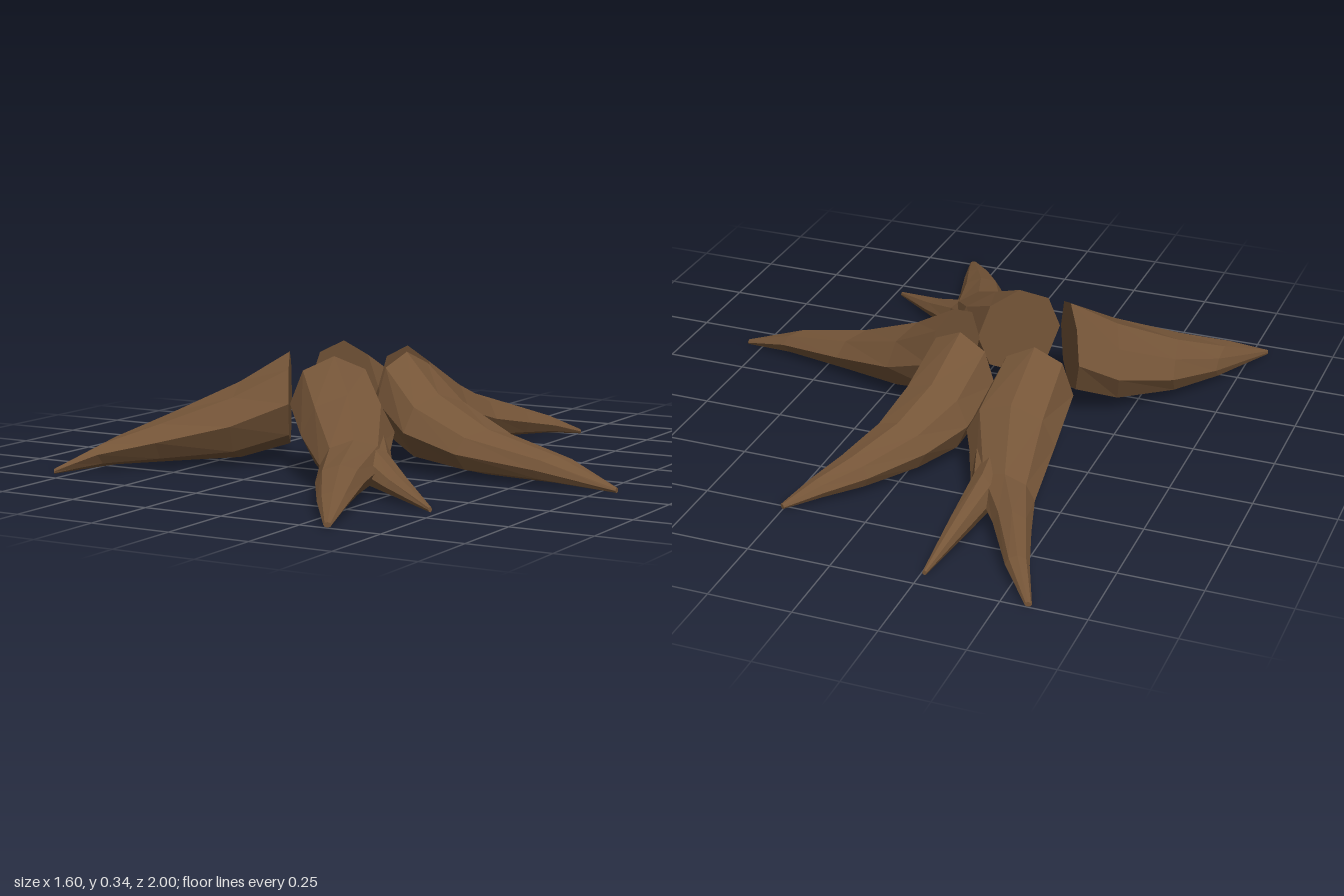
import * as THREE from 'three';

const SIDES = 8;

// Each station of a root: [leftX, leftZ, rightX, rightZ, bottomY, topY],
// left and right as seen looking outwards from the middle.
const ROOTS = {
  backLeftRoot: [
    [-.42, -.16, -.18, -.18, .06, .345], [-.43, -.35, -.155, -.35, .02, .24], [-.45, -.58, -.26, -.56, .015, .14],
    [-.49, -.72, -.37, -.71, .015, .115], [-.535, -.86, -.47, -.88, .015, .075], [-.59, -.995, -.57, -1, .005, .02],
  ],
  backLeftFork: [
    [-.37, -.42, -.19, -.42, .03, .17], [-.34, -.62, -.245, -.55, .02, .135],
    [-.31, -.76, -.25, -.75, .015, .085], [-.268, -.95, -.255, -.95, .005, .02],
  ],
  backRightRoot: [
    [-.18, -.18, .06, -.13, .06, .345], [-.15, -.33, .09, -.29, .02, .24], [-.07, -.46, .12, -.42, .015, .165],
    [.05, -.61, .17, -.56, .015, .11], [.15, -.7, .215, -.66, .015, .07], [.245, -.77, .26, -.76, .005, .02],
  ],
  rightRoot: [
    [.055, -.13, -.025, .1, .06, .345], [.22, -.06, .12, .195, .025, .235], [.43, .03, .3, .21, .015, .15],
    [.65, .1, .55, .195, .015, .095], [.8, .15, .8, .17, .005, .02],
  ],
  frontRoot: [
    [-.02, .1, -.23, .27, .06, .345], [.11, .23, -.1, .42, .02, .255], [.2, .43, .06, .58, .015, .155],
    [.25, .65, .13, .72, .015, .115], [.3, .82, .22, .86, .015, .07], [.345, .99, .325, 1, .005, .02],
  ],
  frontFork: [
    [.14, .31, .04, .44, .03, .18], [.21, .42, .15, .53, .02, .13],
    [.33, .53, .28, .59, .015, .075], [.475, .67, .468, .68, .005, .02],
  ],
  frontLeftRoot: [
    [-.23, .28, -.375, .025, .06, .345], [-.37, .39, -.48, .1, .02, .255], [-.56, .51, -.61, .25, .015, .165],
    [-.7, .61, -.7, .42, .015, .1], [-.755, .66, -.755, .57, .01, .055], [-.795, .7, -.8, .69, .005, .02],
  ],
};

// Skins the octagonal cross-sections and closes both ends
function rootGeometry(stations) {
  const points = [], index = [];
  for (const [lx, lz, rx, rz, y0, y1] of stations) {
    for (let k = 0; k < SIDES; k++) {
      const a = (k / SIDES) * Math.PI * 2, c = Math.cos(a) / 2, s = Math.sin(a) / 2;
      points.push((lx + rx) / 2 + (rx - lx) * c, (y0 + y1) / 2 + (y1 - y0) * s, (lz + rz) / 2 + (rz - lz) * c);
    }
  }
  const last = (stations.length - 1) * SIDES;
  for (let j = 0; j < last; j += SIDES) {
    for (let k = 0; k < SIDES; k++) {
      const n = (k + 1) % SIDES;
      index.push(j + k, j + SIDES + k, j + n, j + n, j + SIDES + k, j + SIDES + n);
    }
  }
  for (let k = 1; k < SIDES - 1; k++) {
    index.push(0, k, k + 1, last, last + k + 1, last + k);
  }
  const geometry = new THREE.BufferGeometry();
  geometry.setAttribute('position', new THREE.Float32BufferAttribute(points, 3));
  geometry.setIndex(index);
  geometry.computeVertexNormals();
  return geometry;
}

export function createModel() {
  const model = new THREE.Group();
  model.name = 'treeRoots';
  const bark = new THREE.MeshStandardMaterial({ color: 0x755538 });
  bark.name = 'bark brown';
  bark.flatShading = true;
  for (const [name, stations] of Object.entries(ROOTS)) {
    const root = new THREE.Mesh(rootGeometry(stations), bark);
    root.name = name;
    model.add(root);
  }
  return model;
}
